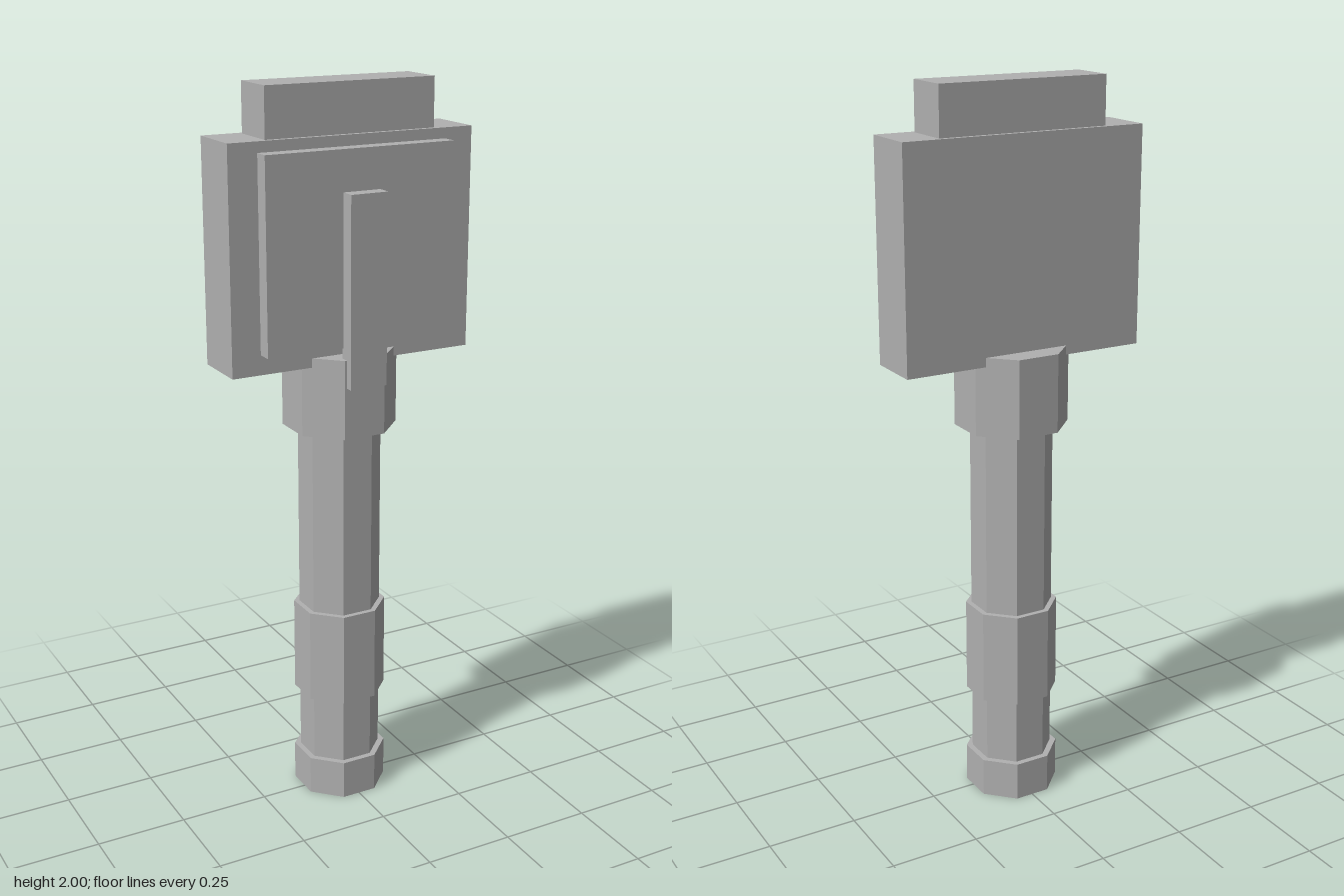
import * as THREE from 'three';

export function createModel() {
  const model = new THREE.Group();
  const grey = new THREE.MeshStandardMaterial({ color: 0xb0b0b0 });
  grey.name = 'grey';
  const AXIS_Z = -0.011;

  function add(name, geometry) {
    const mesh = new THREE.Mesh(geometry, grey);
    mesh.name = name;
    model.add(mesh);
  }

  // Eight-sided prism with a flat side to the front; half is its half width
  function octagon(name, half, y0, y1) {
    const r = half / Math.cos(Math.PI / 8);
    const g = new THREE.CylinderGeometry(r, r, y1 - y0, 8).toNonIndexed();
    g.rotateY(Math.PI / 8);
    g.translate(0, (y0 + y1) / 2, AXIS_Z);
    g.computeVertexNormals();
    add(name, g);
  }

  // Block given by half width, height range and depth range
  function block(name, half, y0, y1, z0, z1) {
    const g = new THREE.BoxGeometry(half * 2, y1 - y0, z1 - z0);
    g.translate(0, (y0 + y1) / 2, (z0 + z1) / 2);
    add(name, g);
  }

  // Handle
  octagon('pommel', 0.12, 0, 0.11);
  octagon('shaft', 0.104, 0.05, 1.15);
  octagon('grip', 0.118, 0.3, 0.565);
  octagon('collar', 0.142, 1.09, 1.305);

  // Head
  block('head', 0.348, 1.28, 1.87, -0.09, 0.068);
  block('topBlock', 0.241, 1.86, 2, -0.077, 0.055);
  block('frontPanel', 0.268, 1.333, 1.842, 0.06, 0.11);
  block('frontStrip', 0.053, 1.23, 1.735, 0.105, 0.151);

  return model;
}
